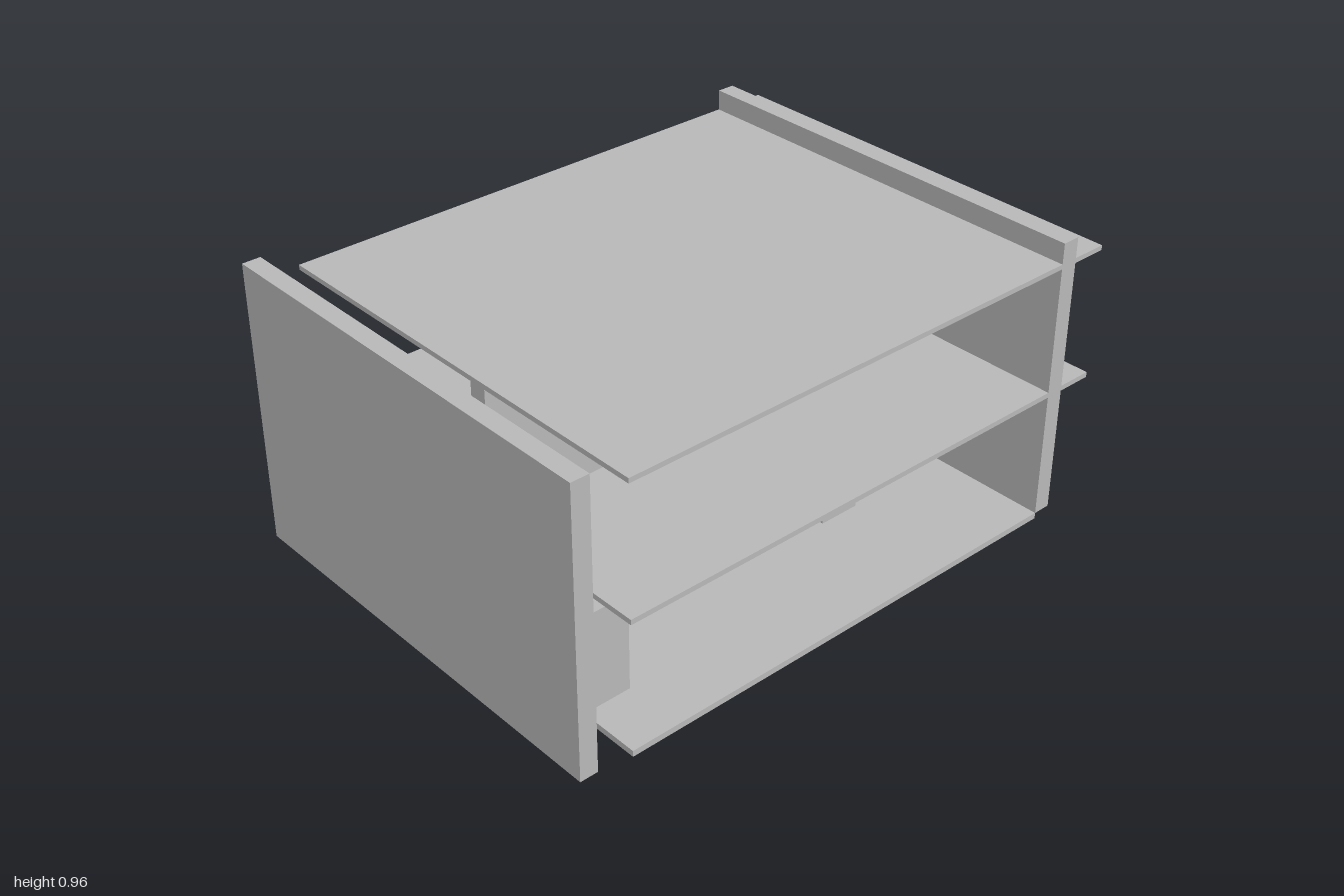
import * as THREE from 'three';

export function createModel() {
  const model = new THREE.Group();
  model.name = 'openHouse';
  const grey = new THREE.MeshStandardMaterial({ color: 0xbcbcbc });
  grey.name = 'plainGrey';

  // Box given by its limits on each axis
  const block = (name, [x0, x1], [y0, y1], [z0, z1]) => {
    const mesh = new THREE.Mesh(new THREE.BoxGeometry(x1 - x0, y1 - y0, z1 - z0), grey);
    mesh.position.set((x0 + x1) / 2, (y0 + y1) / 2, (z0 + z1) / 2);
    mesh.name = name;
    model.add(mesh);
  };
  const width = [-0.73, 0.73];

  // Floors and roof; the upper two overhang at the back
  block('groundFloor', width, [0, 0.02], [-0.82, 0.82]);
  block('upperFloor', width, [0.441, 0.458], [-1, 0.82]);
  block('roof', width, [0.876, 0.892], [-1, 0.82]);

  // Outer walls
  block('frontWall', width, [0.02, 0.96], [0.94, 1]);
  block('backWall', width, [0.02, 0.96], [-0.88, -0.82]);

  // Upper storey partitions, with a doorway between the two cross walls
  const storey = [0.458, 0.876];
  block('doorStubWall', [-0.73, -0.545], storey, [0.21, 0.27]);
  block('crossWall', [-0.18, 0.15], storey, [0.21, 0.27]);
  block('dividingWall', [0.09, 0.15], storey, [0.27, 0.82]);

  // Ground storey counter and low pads
  block('counter', [0.2, 0.53], [0.02, 0.345], [0.66, 0.805]);
  const pads = [[-0.45, 0.55], [-0.265, 0.73], [-0.28, -0.18], [0.26, -0.36], [0, -0.725]];
  for (const [x, z] of pads) {
    block('floorPad', [x - 0.072, x + 0.072], [0.02, 0.042], [z - 0.072, z + 0.072]);
  }
  return model;
}
